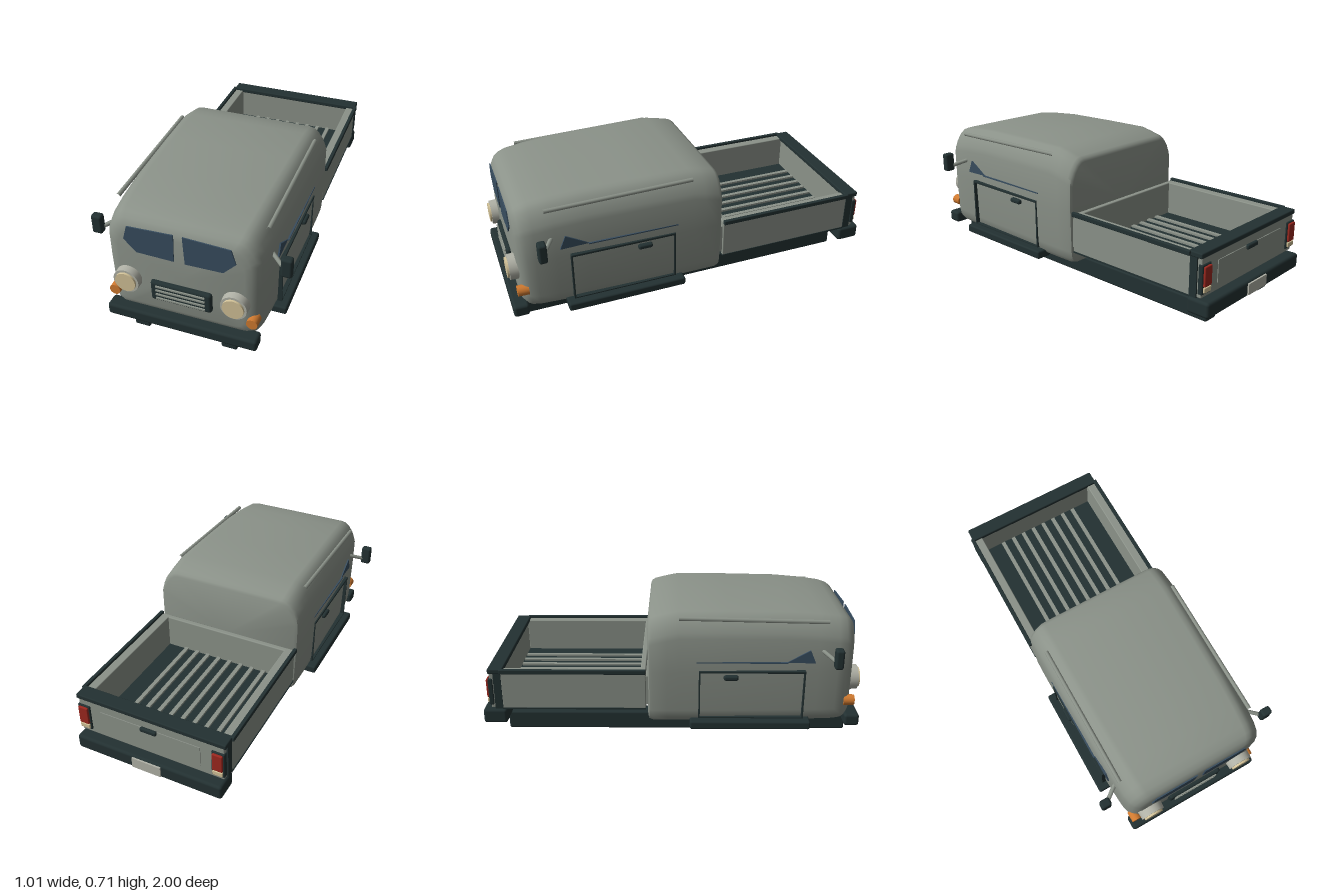
import * as THREE from 'three';
import { toCreasedNormals } from 'three/addons/utils/BufferGeometryUtils.js';
import { RoundedBoxGeometry } from 'three/addons/geometries/RoundedBoxGeometry.js';

const mat = (name, color) => {
  const m = new THREE.MeshStandardMaterial({ color });
  m.name = name;
  return m;
};

// Cab body: rounded cross-sections lofted from front to back
function cabGeometry() {
  // z, half width, bottom, top, corner size
  const stations = [
    [0.95, 0.315, 0.165, 0.6, 0.7], [0.943, 0.343, 0.14, 0.63, 0.8],
    [0.925, 0.367, 0.122, 0.655, 0.9], [0.9, 0.38, 0.113, 0.672, 0.95],
    [0.86, 0.389, 0.11, 0.685, 1], [0.76, 0.396, 0.11, 0.698, 1],
    [0.6, 0.403, 0.11, 0.71, 1], [0.3, 0.41, 0.11, 0.714, 1],
    [0.04, 0.414, 0.11, 0.715, 1], [-0.02, 0.414, 0.11, 0.703, 1],
    [-0.095, 0.413, 0.11, 0.685, 1], [-0.112, 0.408, 0.115, 0.675, 1],
    [-0.12, 0.393, 0.128, 0.66, 0.9],
  ];
  const pos = [], idx = [];
  let n = 0;
  for (const [z, w, b, t, c] of stations) {
    const half = [
      [w - 0.05, b], [w - 0.025, b + 0.007], [w - 0.01, b + 0.03], [w - 0.005, b + 0.07],
      [w, 0.4], [w, t - 0.13 * c], [w - 0.008 * c, t - 0.1 * c], [w - 0.025 * c, t - 0.06 * c],
      [w - 0.05 * c, t - 0.025 * c], [w - 0.075 * c, t - 0.006 * c], [w - 0.1 * c, t - 0.001],
    ];
    const ring = [...half, [0, t], ...half.map(([x, y]) => [-x, y]).reverse()];
    n = ring.length;
    for (const [x, y] of ring) pos.push(x, y, z);
  }
  const last = stations.length - 1, front = stations.length * n, back = front + 1;
  pos.push(0, 0.38, 0.952, 0, 0.38, -0.12);
  for (let j = 0; j < n; j++) {
    const k = (j + 1) % n;
    for (let i = 0; i < last; i++) {
      const a = i * n + j, b = i * n + k, c = b + n, d = a + n;
      idx.push(a, d, b, b, d, c);
    }
    idx.push(front, j, k, back, last * n + k, last * n + j);
  }
  const g = new THREE.BufferGeometry();
  g.setAttribute('position', new THREE.Float32BufferAttribute(pos, 3));
  g.setIndex(idx);
  return toCreasedNormals(g, 0.65);
}

export function createModel() {
  const model = new THREE.Group();
  const paint = mat('body paint', 0x8b9289), dark = mat('dark trim', 0x233132);
  const glass = mat('window glass', 0x384d5f), cream = mat('headlight lens', 0xd2c298);
  const trim = mat('pale trim', 0xb0b1a6), orange = mat('indicator lens', 0xd07a30);
  const red = mat('tail lens', 0x9c281f);

  const add = (name, geo, material, x = 0, y = 0, z = 0) => {
    const m = new THREE.Mesh(geo, material);
    m.name = name;
    m.position.set(x, y, z);
    model.add(m);
    return m;
  };
  // Box given by its limits on each axis, with optional rounding
  const box = (name, material, [x0, x1], [y0, y1], [z0, z1], r = 0) => {
    const s = [Math.abs(x1 - x0), y1 - y0, z1 - z0];
    const g = r ? new RoundedBoxGeometry(...s, 2, r) : new THREE.BoxGeometry(...s);
    return add(name, g, material, (x0 + x1) / 2, (y0 + y1) / 2, (z0 + z1) / 2);
  };
  const plate = (pts, depth) => new THREE.ExtrudeGeometry(
    new THREE.Shape(pts.map(p => new THREE.Vector2(...p))), { depth, bevelEnabled: false });
  const disc = (name, material, r, z0, z1, x, y) => {
    const g = new THREE.CylinderGeometry(r * 0.96, r, z1 - z0, 32).rotateX(Math.PI / 2);
    return add(name, g, material, x, y, (z0 + z1) / 2);
  };
  const bar = (name, material, a, b, r) => {
    const path = new THREE.LineCurve3(new THREE.Vector3(...a), new THREE.Vector3(...b));
    return add(name, new THREE.TubeGeometry(path, 1, r, 8), material);
  };

  add('cab', cabGeometry(), paint);

  // Grille and bumpers
  box('grille', dark, [-0.155, 0.155], [0.225, 0.34], [0.935, 0.972], 0.015);
  for (const y of [0.247, 0.271, 0.295, 0.319])
    box('grilleSlat', paint, [-0.125, 0.125], [y - 0.004, y + 0.004], [0.965, 0.979]);
  box('frontBumper', dark, [-0.387, 0.387], [0.08, 0.145], [0.92, 1], 0.015);
  box('rearBumper', dark, [-0.405, 0.405], [0.1, 0.18], [-0.99, -0.865], 0.015);
  box('numberPlate', trim, [-0.08, 0.08], [0.112, 0.17], [-0.998, -0.988]);

  // Load bed
  box('bedFloor', dark, [-0.39, 0.39], [0.19, 0.215], [-0.89, -0.13]);
  for (let i = 0; i < 8; i++) {
    const x = (i - 3.5) * 0.0687;
    box('bedRib', paint, [x - 0.011, x + 0.011], [0.215, 0.226], [-0.875, -0.155]);
  }
  box('bedFrontWall', paint, [-0.4, 0.4], [0.19, 0.4], [-0.158, -0.13], 0.006);
  box('bedConnector', paint, [-0.395, 0.395], [0.21, 0.37], [-0.135, -0.1]);
  box('tailgate', paint, [-0.4, 0.4], [0.19, 0.392], [-0.943, -0.88], 0.006);
  box('tailgateRail', dark, [-0.41, 0.41], [0.388, 0.414], [-0.948, -0.87], 0.006);
  box('tailgatePanel', paint, [-0.275, 0.275], [0.23, 0.345], [-0.947, -0.94]);
  box('tailgateHandle', dark, [-0.045, 0.045], [0.325, 0.35], [-0.96, -0.94], 0.008);

  for (const s of [-1, 1]) {
    const sx = (a, b) => [s * a, s * b];
    box('chassisRail', dark, sx(0.19, 0.272), [0, 0.1], [-0.89, 0.95], 0.01);
    box('sideStep', dark, sx(0.36, 0.45), [0.09, 0.135], [0.1, 0.73], 0.01);

    // Windscreen pane
    const pane = [[0.022, 0.64], [0.255, 0.63], [0.277, 0.555], [0.215, 0.49], [0.028, 0.486]];
    add('windscreen', plate(pane.map(([x, y]) => [s * x, y]), 0.006), glass, 0, 0, 0.952);

    // Headlight and indicator
    disc('headlightRing', trim, 0.068, 0.935, 0.988, s * 0.272, 0.318);
    disc('headlightLens', cream, 0.055, 0.97, 0.998, s * 0.272, 0.318);
    disc('indicator', orange, 0.029, 0.91, 0.967, s * 0.353, 0.22);

    // Quarter window and sill glass strip
    const quarter = plate([[0.742, 0.452], [0.712, 0.522], [0.595, 0.456]], 0.008).rotateY(-Math.PI / 2);
    add('quarterWindow', quarter, glass, s * 0.404 + 0.004, 0, 0);
    box('sideWindowStrip', glass, sx(0.406, 0.415), [0.453, 0.459], [0.13, 0.6]);

    // Door seams and handle
    box('doorTopSeam', dark, sx(0.395, 0.419), [0.398, 0.411], [0.144, 0.694], 0.003);
    for (const z of [0.148, 0.69])
      box('doorSideSeam', dark, sx(0.393, 0.416), [0.14, 0.405], [z - 0.004, z + 0.004]);
    box('doorBottomSeam', dark, sx(0.393, 0.416), [0.14, 0.146], [0.148, 0.69]);
    box('doorHandle', dark, sx(0.4, 0.43), [0.36, 0.386], [0.272, 0.348], 0.01);

    // Mirror and roof gutter
    bar('mirrorArm', paint, [s * 0.385, 0.515, 0.775], [s * 0.465, 0.483, 0.835], 0.011);
    box('mirror', dark, sx(0.45, 0.505), [0.456, 0.56], [0.82, 0.863], 0.012);
    bar('roofGutter', paint, [s * 0.375, 0.665, 0.8], [s * 0.378, 0.683, 0.04], 0.011);

    // Bed side with outer rail
    box('bedSide', paint, sx(0.355, 0.405), [0.19, 0.4], [-0.882, -0.13], 0.005);
    box('bedRail', dark, sx(0.4, 0.42), [0.39, 0.414], [-0.885, -0.13], 0.004);
    box('bedLowerSeam', dark, sx(0.39, 0.408), [0.186, 0.194], [-0.882, -0.13]);
    box('tailgateHinge', dark, sx(0.385, 0.408), [0.19, 0.39], [-0.92, -0.88]);

    // Tail light
    box('tailLightHousing', dark, sx(0.335, 0.405), [0.21, 0.358], [-0.951, -0.925], 0.006);
    box('tailLens', red, sx(0.343, 0.397), [0.25, 0.35], [-0.962, -0.945], 0.005);
    box('reverseLens', cream, sx(0.343, 0.397), [0.22, 0.246], [-0.96, -0.945], 0.004);
  }
  return model;
}
